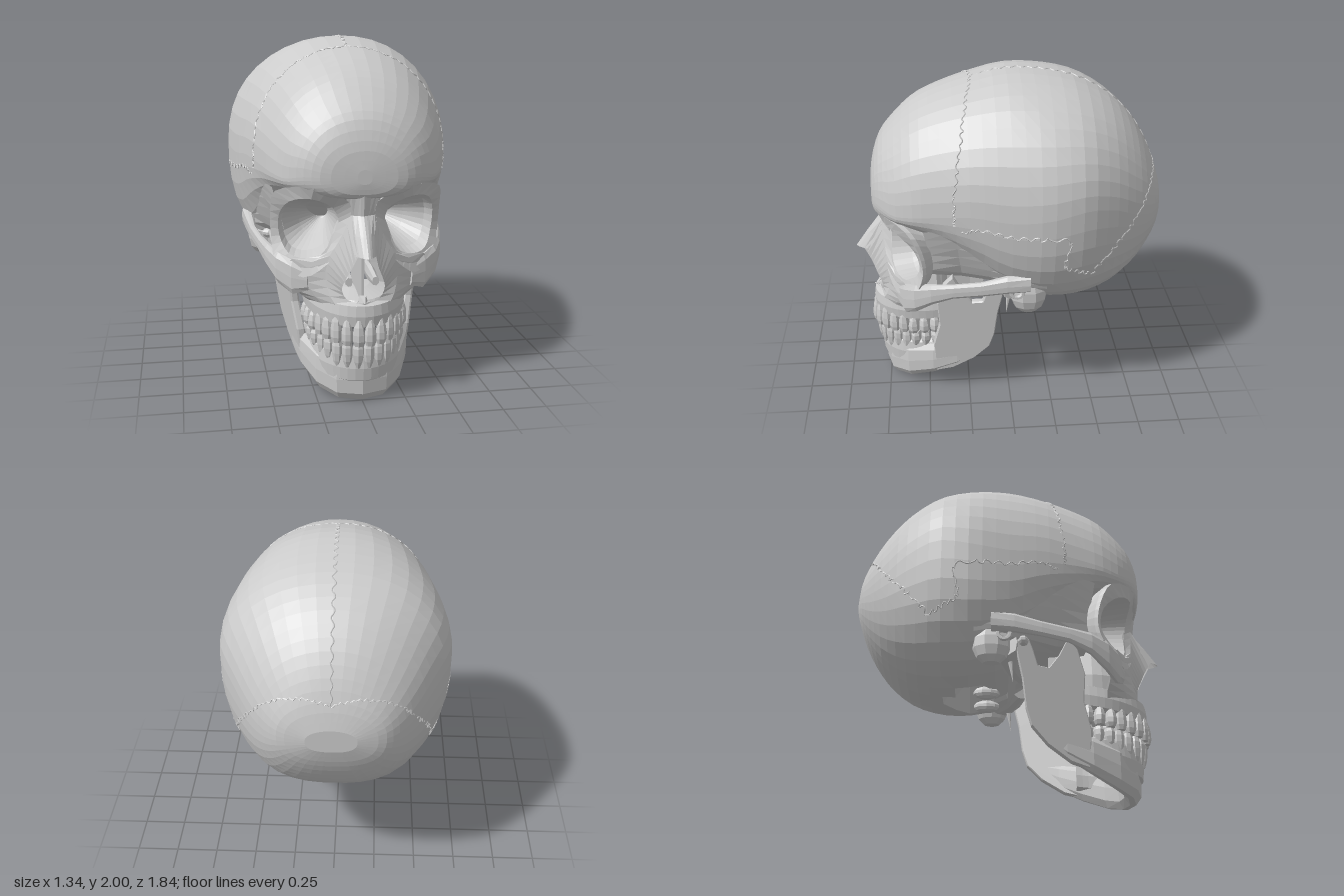
import * as THREE from 'three';

const bone = new THREE.MeshStandardMaterial({ color: 0xcccccc, flatShading: true, side: THREE.DoubleSide });
const V = (p) => new THREE.Vector3(p[0], p[1], p[2]);
const lerp = THREE.MathUtils.lerp;

// Surface through rows of equal length; closed joins the ends of each row
function loft(rows, closed = false) {
  const n = rows[0].length, cols = closed ? n : n - 1, index = [];
  for (let r = 0; r < rows.length - 1; r++)
    for (let c = 0; c < cols; c++) {
      const a = r * n + c, b = r * n + (c + 1) % n;
      index.push(a, b, a + n, b, b + n, a + n);
    }
  const g = new THREE.BufferGeometry().setFromPoints(rows.flat());
  g.setIndex(index);
  g.computeVertexNormals();
  return g;
}

const smooth = (pts, n, closed = false) => {
  const p = new THREE.CatmullRomCurve3(pts.map(V), closed).getPoints(n);
  return closed ? p.slice(0, n) : p;
};

// Bar along a path of [x, y, z, half height, half thickness], capped at both ends
function beam(path, sides = 10) {
  const rows = path.map((p, i) => {
    const a = path[Math.max(i - 1, 0)], b = path[Math.min(i + 1, path.length - 1)];
    const side = new THREE.Vector3(b[2] - a[2], 0, a[0] - b[0]).normalize();
    return Array.from({ length: sides }, (_, k) => {
      const t = (k / sides) * Math.PI * 2, c = Math.cos(t), s = Math.sin(t);
      const r = (Math.abs(c) ** 3 + Math.abs(s) ** 3) ** (-1 / 3);
      const q = V(p).addScaledVector(side, c * r * p[4]);
      q.y += s * r * p[3];
      return q;
    });
  });
  const cap = (p) => Array.from({ length: sides }, () => V(p));
  return loft([cap(path[0]), ...rows, cap(path[path.length - 1])], true);
}

// Braincase cross-sections from brow to occiput: z, top, bottom, half width, height of widest point
const SECTIONS = [
  [.805, 1.34, 1.26, .04, 1.3], [.79, 1.47, 1.19, .22, 1.3], [.74, 1.61, 1.17, .33, 1.3],
  [.66, 1.71, 1.17, .42, 1.28], [.54, 1.82, 1.13, .49, 1.3], [.4, 1.89, 1.05, .535, 1.32],
  [.2, 1.955, .87, .595, 1.34], [0, 2, .7, .64, 1.32], [-.2, 1.99, .635, .67, 1.34],
  [-.4, 1.945, .625, .645, 1.38], [-.58, 1.85, .67, .555, 1.34], [-.72, 1.72, .775, .46, 1.26],
  [-.82, 1.57, .91, .37, 1.22], [-.885, 1.42, 1.04, .28, 1.22], [-.92, 1.29, 1.15, .14, 1.22],
];
const LAST = SECTIONS.length - 1;
const lengthwise = new THREE.CatmullRomCurve3(SECTIONS.map((s) => V([s[0], s[1], s[2]])));
const crosswise = new THREE.CatmullRomCurve3(SECTIONS.map((s) => V([s[3], s[4], 0])));

function vaultPoint(i, angle, swell = 1) {
  const { x: z, y: top, z: bottom } = lengthwise.getPoint(i / LAST);
  const { x: w, y: mid } = crosswise.getPoint(i / LAST);
  const c = Math.cos(angle), s = Math.sin(angle), n = s > 0 ? 2.12 : 2.6;
  const r = swell * (Math.abs(c) ** n + Math.abs(s) ** n) ** (-1 / n);
  return new THREE.Vector3(w * c * r, mid + (s > 0 ? top - mid : mid - bottom) * s * r, z);
}

function braincase() {
  const rings = 36, sides = 40, rows = [];
  for (let i = 0; i <= rings; i++)
    rows.push(Array.from({ length: sides }, (_, k) => {
      const p = vaultPoint((i / rings) * LAST, (k / sides) * Math.PI * 2);
      // opening for the spine
      if (p.y < .9 && Math.hypot(p.x / .13, (p.z + .22) / .15) < 1) p.y += .16;
      return p;
    }));
  const end = (row) => {
    const c = row.reduce((a, p) => a.add(p), new THREE.Vector3()).divideScalar(sides);
    return row.map(() => c.clone());
  };
  return loft([end(rows[0]), ...rows, end(rows[rings])], true);
}

// Jagged seam over the braincase through [section, degrees] points
function suture(points, jag) {
  const curve = new THREE.CatmullRomCurve3(points.map(([i, d]) => V([i, d, 0])));
  const path = curve.getPoints(70).map((p, k) => vaultPoint(
    p.x + jag * .05 * Math.sin(k * 2.3), (p.y + 1.1 * Math.sin(k * 1.7)) * Math.PI / 180, .999));
  return new THREE.TubeGeometry(new THREE.CatmullRomCurve3(path), 140, .004, 4);
}

// Eye socket: outer flange, rim, then a funnel to the apex
function orbit() {
  const flange = smooth([[.08, 1.16, .77], [.27, 1.24, .765], [.465, 1.2, .6], [.485, 1.07, .53], [.48, .92, .51],
    [.46, .79, .56], [.32, .72, .67], [.2, .8, .725], [.09, .95, .75], [.07, 1.07, .75]], 30, true);
  const rim = smooth([[.16, 1.12, .72], [.28, 1.175, .73], [.39, 1.15, .65], [.44, 1.05, .55], [.435, .93, .53],
    [.39, .84, .59], [.3, .825, .655], [.2, .87, .69], [.14, .97, .7], [.13, 1.06, .71]], 30, true);
  const inward = (row, target, f, fz) => row.map((p) =>
    new THREE.Vector3(lerp(p.x, target.x, f), lerp(p.y, target.y, f), lerp(p.z, target.z, fz)));
  const apex = V([.14, 1.0, .3]), behind = V([.28, 1, .38]);
  return loft([inward(flange, behind, .25, .45), inward(flange, behind, .04, .15), flange, rim,
    inward(rim, apex, .1, .3), inward(rim, apex, .45, .65), inward(rim, apex, .8, .95), inward(rim, apex, 1, 1)], true);
}

// Cheek side of the upper jaw, from the nose opening outwards
function maxilla() {
  return loft([
    [[.05, .88, .87], [.075, .8, .825], [.105, .73, .795], [.12, .67, .77], [.09, .61, .77], [0, .6, .81]],
    [[.065, 1.08, .755], [.13, .94, .74], [.19, .83, .725], [.2, .7, .72], [.15, .58, .765], [0, .55, .81]],
    [[.13, 1.05, .7], [.19, .87, .7], [.29, .79, .675], [.29, .67, .66], [.205, .56, .7], [0, .48, .82]],
    [[.14, 1.03, .69], [.22, .85, .69], [.4, .8, .61], [.37, .64, .58], [.275, .55, .57], [.2, .48, .68]],
  ].map((r) => smooth(r, 14)));
}

// Hollow of the temple: side wall below the vault, folding in under the skull base
function temple() {
  return loft([
    [[.47, 1.2, .5], [.42, 1.02, .47], [.36, .86, .46], [.18, .84, .44]],
    [[.55, 1.24, .32], [.47, 1.03, .3], [.36, .84, .28], [.14, .83, .28]],
    [[.59, 1.2, .15], [.54, 1.02, .13], [.44, .85, .11], [.14, .8, .12]],
    [[.63, 1.15, -.02], [.58, .98, -.03], [.53, .83, -.03], [.2, .76, -.03]],
    [[.645, 1.1, -.18], [.59, .95, -.2], [.52, .8, -.2], [.25, .7, -.2]],
  ].map((r) => smooth(r, 9)));
}

// Flat plate of the jaw with both upper processes, leaning outwards
function ramus() {
  const outline = [[.45, .13], [.46, .34], [.42, .5], [.43, .66], [.39, .8], [.34, .86], [.29, .76], [.23, .68],
    [.16, .69], [.13, .79], [.11, .84], [.05, .84], [.05, .76], [.08, .62], [.1, .45], [.13, .35], [.22, .25], [.35, .16]];
  const g = new THREE.ExtrudeGeometry(new THREE.Shape(outline.map(([z, y]) => new THREE.Vector2(z, y))),
    { depth: .03, bevelEnabled: true, bevelSize: .006, bevelThickness: .01, bevelSegments: 1 });
  const p = g.attributes.position;
  for (let i = 0; i < p.count; i++) {
    const z = p.getX(i), y = p.getY(i);
    p.setXYZ(i, .388 + (y - .5) * .13 - (z - .2) * .16 - p.getZ(i), y, z);
  }
  g.computeVertexNormals();
  return g;
}

// Horizontal dental arch; rise lifts its back end
const archCurve = (a, d) => new THREE.EllipseCurve(0, .42, a, d, 0, Math.PI);
const rise = (z) => .05 * (.82 - z) / .4;
const gum = (a, d, y, hh, ht) => beam(Array.from({ length: 25 }, (_, i) => {
  const q = archCurve(a, d).getPointAt(i / 24);
  return [q.x, y + rise(q.y), q.y, hh, ht];
}), 8);

export function createModel() {
  const skull = new THREE.Group();
  skull.name = 'skull';
  const add = (name, geo, parent = skull) => {
    const m = new THREE.Mesh(geo, bone);
    m.name = name;
    parent.add(m);
    return m;
  };
  const pair = (name, geo) => {
    add(name + 'Left', geo);
    add(name + 'Right', geo).scale.x = -1;
  };
  const ball = (x, y, z, rx, ry, rz) =>
    new THREE.SphereGeometry(1, 9, 7).scale(rx, ry, rz).translate(x, y, z);
  const box = (x, y, z, w, h, d) => new THREE.BoxGeometry(w, h, d).translate(x, y, z);

  // Vault and its seams
  add('braincase', braincase());
  add('sagittalSuture', suture([[6, 90], [9, 90], [13, 90]], 0));
  pair('coronalSuture', suture([[6, 90], [5.7, 50], [5.4, 8], [5.4, -8]], 1));
  pair('lambdoidSuture', suture([[13, 90], [12.2, 40], [10.8, -6], [9.3, -33]], 1));
  pair('squamousSuture', suture([[5.6, -14], [6.5, -8], [8, -9], [8.5, -26], [9.3, -33]], .5));

  // Face
  pair('orbit', orbit());
  pair('maxilla', maxilla());
  pair('maxillaWall', loft([[.56, .27, .36], [.7, .27, .33], [.86, .22, .28]].map(([y, a, d]) =>
    smooth([[a * .75, y, .4 + d * .85], [a, y, .56], [a, y, .42], [.12, y, .37]], 8))));
  add('nasalBones', loft([[1.22, .1, .77, .795], [1.08, .08, .74, .775], [.98, .075, .775, .85], [.88, .06, .855, .92]]
    .map(([y, w, zs, zr]) => smooth([[-w, y, zs], [-w * .4, y, zr - .015], [0, y, zr], [w * .4, y, zr - .015], [w, y, zs]], 8))));
  add('ethmoid', box(0, .99, .53, .2, .22, .32));
  add('septum', box(0, .73, .59, .016, .3, .32));
  pair('concha', beam([[.075, .7, .74, .025, .02], [.07, .71, .6, .045, .025], [.07, .72, .42, .03, .02]], 7));
  add('nasalSpine', new THREE.ConeGeometry(.03, .08, 5).rotateX(Math.PI / 2).translate(0, .6, .79));
  pair('cheekbone', beam([[.29, .7, .655, .06, .02], [.37, .71, .615, .1, .025], [.44, .75, .55, .09, .03],
    [.49, .8, .46, .065, .025], [.525, .835, .34, .045, .02], [.555, .86, .18, .045, .02],
    [.565, .89, .03, .055, .03], [.555, .9, -.1, .06, .05]]));

  // Underside of the skull
  pair('temple', temple());
  add('sphenoid', beam([[0, .95, .45, .1, .13], [0, .93, .25, .1, .17], [0, .83, .08, .08, .13], [0, .73, -.08, .06, .1]]));
  pair('pterygoidOuter', box(.2, .74, .31, .02, .26, .1).rotateY(.12));
  pair('pterygoidInner', box(.12, .75, .33, .02, .26, .08));
  pair('petrous', beam([[.12, .77, .08, .06, .05], [.28, .77, .02, .07, .07], [.46, .81, -.04, .08, .09]]));
  pair('mastoid', ball(.495, .79, -.1, .075, .13, .11));
  pair('earCanal', new THREE.TorusGeometry(.035, .014, 6, 12).rotateY(Math.PI / 2).translate(.555, .83, -.03));
  pair('styloid', new THREE.ConeGeometry(.025, .24, 6).rotateX(Math.PI - .12).translate(.4, .71, .01));
  pair('occipitalCondyle', ball(.11, .65, -.13, .04, .04, .08));

  // Upper jaw
  add('upperGum', gum(.26, .37, .52, .075, .04));
  add('palate', loft([[.24, .35, .53], [.2, .3, .585], [.1, .15, .61], [0, 0, .615]].map(([a, d, y]) =>
    archCurve(a, d).getPoints(16).map((q) => V([q.x, y, q.y])))));

  // Lower jaw
  const half = [[.12, .13, .695, .122, .05], [.21, .16, .605, .122, .045], [.28, .21, .46, .105, .04],
    [.32, .26, .32, .08, .027], [.345, .32, .2, .04, .012]];
  add('jawBody', beam([...half.map(([x, ...r]) => [-x, ...r]).reverse(), [0, .132, .722, .132, .055], ...half]));
  add('lowerGum', gum(.25, .338, .2, .09, .037));
  pair('ramus', ramus());
  pair('jawCondyle', ball(.43, .83, .08, .07, .035, .035));

  // Teeth: crown tip at the origin, root pointing up
  const toothShape = new THREE.LatheGeometry([[0, .004], [.026, 0], [.036, .03], [.036, .07], [.028, .115], [.012, .155], [0, .16]]
    .map(([r, y]) => new THREE.Vector2(r, y)), 7);
  for (const [name, a, d, tip, flip] of [['upperTeeth', .272, .4, .355, 1], ['lowerTeeth', .255, .372, .358, -1]]) {
    const row = new THREE.Group();
    row.name = name;
    skull.add(row);
    for (let i = 0; i < 16; i++) {
      const q = archCurve(a, d).getPointAt((i + .5) / 16);
      const back = Math.abs(i - 7.5) - .5; // 0 at the middle, 7 at the rear
      const tooth = add('tooth', toothShape, row);
      tooth.position.set(q.x, tip + rise(q.y) * (flip > 0 ? 1.1 : .8), q.y);
      tooth.rotation.y = Math.atan2(q.x / (a * a), (q.y - .42) / (d * d));
      const molar = back > 4;
      tooth.scale.set(flip > 0 ? .97 : .9, flip * (molar ? .75 : back === 2 ? 1.05 : .95), molar ? 1.1 : .8);
    }
  }
  return skull;
}
